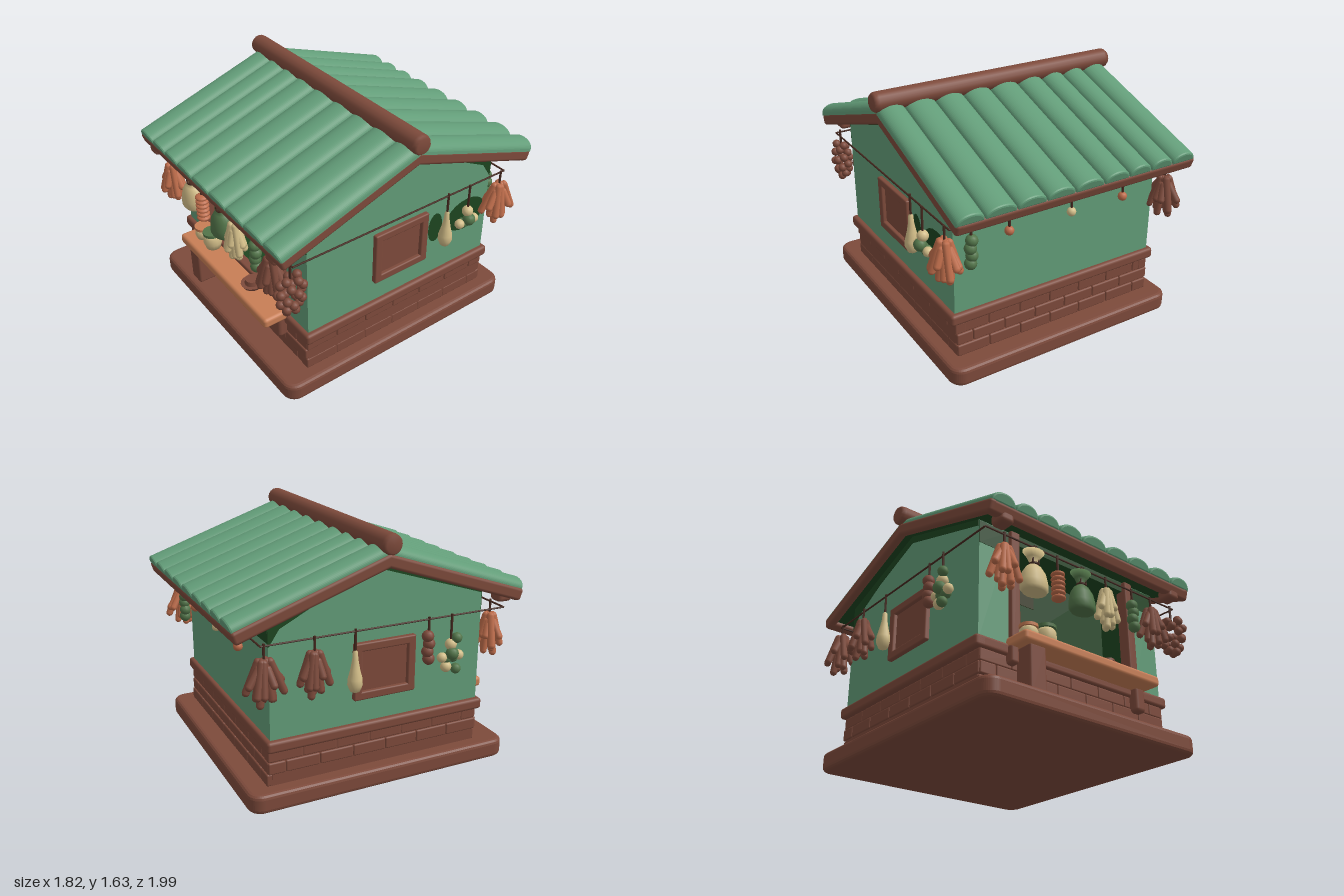
import * as THREE from 'three';
import { RoundedBoxGeometry } from 'three/addons/geometries/RoundedBoxGeometry.js';

const mat = (name, color) => new THREE.MeshStandardMaterial({ name, color });
const green = mat('paleGreen', 0x629c78), brown = mat('woodBrown', 0x7d4a3b);
const dark = mat('cordBrown', 0x46291f), deep = mat('deepGreen', 0x1d4520), olive = mat('darkOlive', 0x38391f);
const orange = mat('orange', 0xc87e55), cream = mat('cream', 0xd2bd88), sage = mat('sage', 0x527449);
const terracotta = mat('terracotta', 0xbd6c4a);

const add = (parent, name, geo, material, x = 0, y = 0, z = 0) => {
  const m = new THREE.Mesh(geo, material);
  m.name = name;
  m.position.set(x, y, z);
  parent.add(m);
  return m;
};
// Box given by its min and max corners, rounded when r > 0
const box = (parent, name, material, x0, x1, y0, y1, z0, z1, r = 0) => {
  const s = [x1 - x0, y1 - y0, z1 - z0];
  const geo = r ? new RoundedBoxGeometry(...s, 2, r) : new THREE.BoxGeometry(...s);
  return add(parent, name, geo, material, (x0 + x1) / 2, (y0 + y1) / 2, (z0 + z1) / 2);
};
// Round rod or capsule between two points
const rod = (parent, name, material, a, b, r, capsule = false) => {
  const A = new THREE.Vector3(...a), B = new THREE.Vector3(...b), d = B.clone().sub(A), l = d.length();
  const geo = capsule ? new THREE.CapsuleGeometry(r, l - 2 * r, 4, 8) : new THREE.CylinderGeometry(r, r, l, 6);
  const m = add(parent, name, geo, material, ...A.add(B).multiplyScalar(0.5).toArray());
  m.quaternion.setFromUnitVectors(new THREE.Vector3(0, 1, 0), d.normalize());
  return m;
};
const lathe = (pts) => new THREE.LatheGeometry(pts.map(p => new THREE.Vector2(...p)), 16);
const ball = (parent, name, material, x, y, z, r) =>
  add(parent, name, new THREE.SphereGeometry(r, 12, 8), material, x, y, z);

// Slab from a (z, y) outline, spanning x0 to x1
function slab(parent, name, material, x0, x1, pts) {
  const shape = new THREE.Shape(pts.map(p => new THREE.Vector2(...p)));
  const geo = new THREE.ExtrudeGeometry(shape, { depth: x1 - x0, bevelEnabled: false }).rotateY(-Math.PI / 2);
  add(parent, name, geo, material, x1, 0, 0);
}
const roofLine = z => 1.445 - 0.34 * Math.abs(z);
const under = (z, drop = 0) => [z, roofLine(z) - drop];

// Hanging goods, built downward from the line at local y = 0
const bundle = (material, R = 0.105) => g => {
  for (let i = 0; i < 16; i++) {
    const a = i * 2.4, inner = i < 5, k = inner ? 0.45 : 1;
    const drop = inner ? -0.35 + 0.02 * Math.sin(i * 5) : -0.3 + 0.06 * (i % 2);
    const tip = [Math.cos(a) * R * k, drop, Math.sin(a) * R * k * 0.65];
    rod(g, 'sausage', material, [tip[0] * 0.22, -0.07 - 0.04 * (i % 2), tip[2] * 0.22], tip, 0.024, true);
  }
};
const sack = (material) => g => {
  add(g, 'sackBody', lathe([[0, -0.295], [0.08, -0.295], [0.096, -0.275], [0.094, -0.23], [0.08, -0.17], [0.055, -0.13],
    [0.024, -0.105], [0.045, -0.06], [0.075, -0.02], [0, -0.05]]).scale(1, 1, 0.75), material);
  add(g, 'sackTie', new THREE.TorusGeometry(0.026, 0.008, 6, 14).rotateX(Math.PI / 2), dark, 0, -0.105, 0);
  for (const s of [-1, 1]) rod(g, 'sackCord', dark, [s * 0.008, 0.015, 0.02], [s * 0.024, -0.105, 0.02], 0.006);
};
const slices = g => {
  for (let i = 0; i < 6; i++)
    add(g, 'slice', new THREE.SphereGeometry(0.045, 14, 8).scale(1, 0.45, 1), terracotta, 0, -0.12 - i * 0.032, 0);
};
const strand = (material) => g => {
  for (let i = 0; i < 4; i++) ball(g, 'bulb', material, i % 2 ? 0.005 : -0.005, -0.11 - i * 0.05, 0, 0.039);
};
const grapes = (material) => g => {
  for (let i = 0; i < 26; i++) {
    const t = i / 25, a = i * 2.4, R = 0.03 + 0.055 * Math.sin(Math.PI * Math.min(1, t * 0.9 + 0.1));
    ball(g, 'berry', material, Math.cos(a) * R, -0.09 - t * 0.25, Math.sin(a) * R * 0.55, 0.029);
  }
};
const gourd = g => add(g, 'gourdBody', lathe([[0, -0.395], [0.03, -0.38], [0.047, -0.34], [0.045, -0.30], [0.03, -0.24],
  [0.019, -0.18], [0.015, -0.13], [0, -0.11]]), cream);
const cluster = g => {
  ball(g, 'vegetable', sage, 0, -0.24, 0.02, 0.042);
  for (const s of [-1, 1]) {
    ball(g, 'vegetable', cream, s * 0.062, -0.265, 0, 0.033);
    ball(g, 'vegetable', sage, s * 0.025, -0.275, -0.01, 0.035);
  }
  ball(g, 'vegetable', cream, 0, -0.185, 0, 0.038);
};
const longCluster = g => {
  cluster(g);
  ball(g, 'vegetable', sage, 0.03, -0.14, 0.02, 0.034);
  ball(g, 'vegetable', cream, -0.03, -0.33, 0, 0.036);
  ball(g, 'vegetable', sage, 0.03, -0.345, 0.02, 0.034);
};
const fruit = (material) => g => ball(g, 'fruitBall', material, 0, -0.12, 0, 0.03);

export function createModel() {
  const model = new THREE.Group();
  model.name = 'marketStall';

  // Plinth with rounded corners
  const px = 0.815, pz = 0.887, pr = 0.06, plan = new THREE.Shape();
  [[1, 1], [-1, 1], [-1, -1], [1, -1]].forEach(([sx, sz], i) =>
    plan.absarc(sx * (px - pr), sz * (pz - pr), pr, i * Math.PI / 2, (i + 1) * Math.PI / 2, false));
  add(model, 'plinth', new THREE.ExtrudeGeometry(plan, { depth: 0.069, bevelSize: 0.028, bevelThickness: 0.028,
    bevelSegments: 3, curveSegments: 6 }).rotateX(-Math.PI / 2), brown, 0, 0.028, 0.025);

  // Brick footing and band
  box(model, 'footing', brown, -0.745, 0.745, 0.1, 0.37, -0.72, 0.73);
  for (let side = 0; side < 4; side++) {
    const wall = new THREE.Group();
    wall.name = 'brickWall';
    wall.rotation.y = side * Math.PI / 2;
    for (let row = 0; row < 3; row++) for (let i = 0; i < 7; i++) {
      const step = 1.49 / 6.5, x0 = -0.745 + (i - (row % 2) / 2) * step, y = 0.122 + row * 0.079;
      const a = Math.max(x0, -0.745), b = Math.min(x0 + step, 0.745);
      const out = 0.742 + 0.012 * ((i * 3 + row * 2 + side) % 3) / 2;
      if (b - a > 0.03) box(wall, 'brick', brown, a, b - 0.002, y, y + 0.078, 0.68, out, 0.01);
    }
    model.add(wall);
  }
  for (const s of [-1, 1]) {
    box(model, 'bandSide', brown, s * 0.745 - 0.04, s * 0.745 + 0.04, 0.355, 0.43, -0.76, 0.765, 0.02);
    box(model, 'bandEnd', brown, -0.785, 0.785, 0.355, 0.43, s * 0.725 - 0.035, s * 0.725 + 0.04, 0.02);
  }

  // Walls with a recessed serving hatch lined in deep green
  slab(model, 'mainWall', green, -0.75, 0.75, [[-0.73, 0.4], [0.48, 0.4], under(0.48), under(0), under(-0.73)]);
  for (const s of [-1, 1]) {
    slab(model, 'frontWall', green, s * 0.63 - 0.12, s * 0.63 + 0.12, [[0.47, 0.4], [0.735, 0.4], under(0.735), under(0.47)]);
    box(model, 'hatchPost', brown, s * 0.495 - 0.035, s * 0.495 + 0.035, 0.41, 1.2, 0.68, 0.765, 0.012);
    box(model, 'hatchLining', deep, s * 0.507 - 0.004, s * 0.507 + 0.004, 0.42, 1.2, 0.48, 0.7);
  }
  box(model, 'hatchBack', deep, -0.51, 0.51, 0.42, 1.26, 0.478, 0.487);
  box(model, 'hatchBackPanel', olive, -0.38, -0.12, 0.9, 1.13, 0.484, 0.491);
  box(model, 'hatchFloor', deep, -0.51, 0.51, 0.36, 0.47, 0.48, 0.7);
  box(model, 'hatchSill', brown, -0.51, 0.51, 0.38, 0.495, 0.69, 0.755, 0.012);
  box(model, 'hatchLintel', deep, -0.51, 0.51, 1.13, 1.2, 0.48, 0.735);

  // Deep green panels painted under the eaves and beside the side goods
  for (const s of [-1, 1]) {
    box(model, 'frontEavePanel', deep, s * 0.64 - 0.11, s * 0.64 + 0.11, 1.04, 1.19, 0.733, 0.738);
    slab(model, 'gablePanel', deep, s * 0.75 - 0.004, s * 0.75 + 0.004, [under(0.73), under(0), under(-0.73),
      under(-0.73, 0.18), under(-0.66, 0.1), under(-0.4, 0.06), under(0, 0.05), under(0.73, 0.04)].reverse());
  }
  box(model, 'backEavePanel', deep, -0.748, 0.748, 1.04, 1.19, -0.734, -0.729);
  for (const [z, y, rz, ry] of [[-0.27, 0.79, 0.06, 0.11], [-0.54, 0.785, 0.17, 0.12]])
    add(model, 'sidePanel', new THREE.CircleGeometry(1, 20).scale(rz, ry, 1).rotateY(Math.PI / 2), deep, 0.753, y, z);

  // Counter and its supports
  box(model, 'counter', orange, -0.56, 0.548, 0.4, 0.47, 0.735, 0.92, 0.022);
  box(model, 'counterLeg', brown, -0.5, -0.38, 0.12, 0.41, 0.76, 0.89, 0.015);
  box(model, 'counterBracket', brown, 0.445, 0.53, 0.25, 0.42, 0.73, 0.81, 0.025);
  box(model, 'counterBracket', brown, -0.56, -0.5, 0.3, 0.42, 0.73, 0.8, 0.02);

  // Jars and dishes on the counter
  for (const [x, r, h, rim] of [[-0.435, 0.058, 0.09, orange], [-0.3, 0.064, 0.125, sage]]) {
    add(model, 'jar', lathe([[0, 0], [r * 0.8, 0], [r, h * 0.35], [r * 0.95, h * 0.7], [r * 0.75, h * 0.85], [0, h * 0.9]]),
      cream, x, 0.47, 0.8);
    add(model, 'jarRim', new THREE.CylinderGeometry(r, r, 0.02, 16), rim, x, 0.47 + h * 0.94, 0.8);
  }
  add(model, 'dish', new THREE.CylinderGeometry(0.075, 0.06, 0.025, 16), brown, 0.21, 0.482, 0.8);
  add(model, 'dishTop', new THREE.CylinderGeometry(0.045, 0.05, 0.035, 16), brown, 0.21, 0.51, 0.8);

  // Side windows
  for (const s of [-1, 1]) {
    const w = new THREE.Group();
    w.name = 'sideWindow';
    w.position.set(s * 0.75, 0.772, 0.028);
    w.rotation.y = s * Math.PI / 2;
    for (const k of [-1, 1]) {
      box(w, 'frameUpright', brown, k * 0.187 - 0.027, k * 0.187 + 0.027, -0.185, 0.185, -0.02, 0.032, 0.01);
      box(w, 'frameRail', brown, -0.21, 0.21, k * 0.158 - 0.027, k * 0.158 + 0.027, -0.02, 0.032, 0.01);
    }
    box(w, 'shutter', brown, -0.18, 0.18, -0.15, 0.15, -0.02, 0.006);
    model.add(w);
  }

  // Roof: two slopes of rounded tiles over a deck with edge beams
  const edges = [-0.85, -0.67, -0.5, -0.33, -0.14, 0.07, 0.27, 0.47, 0.68, 0.865], len = 1.035;
  for (const s of [1, -1]) {
    const turn = new THREE.Group(), slope = new THREE.Group();
    turn.name = s > 0 ? 'frontRoof' : 'backRoof';
    slope.name = 'roofSlope';
    turn.rotation.y = s > 0 ? 0 : Math.PI;
    slope.position.y = 1.5;
    slope.rotation.x = Math.atan(0.34);
    box(slope, 'roofDeck', deep, -0.84, 0.84, -0.045, 0.004, 0, 1.0);
    for (let i = 0; i < 9; i++) {
      const w = (edges[i + 1] - edges[i]) / 2 - 0.003, shape = new THREE.Shape();
      shape.absellipse(0, 0, w - 0.012, 0.048, 0, Math.PI, false);
      shape.closePath();
      const geo = new THREE.ExtrudeGeometry(shape, { depth: len - 0.024, bevelSize: 0.012, bevelThickness: 0.012,
        bevelSegments: 2, curveSegments: 14 });
      add(slope, 'roofTile', geo, green, s * (edges[i] + edges[i + 1]) / 2, 0.006, 0.012);
    }
    for (const k of [-1, 1])
      box(slope, 'rakeBeam', brown, k * 0.832 - 0.028, k * 0.832 + 0.028, -0.075, 0.006, -0.01, 1.04, 0.02);
    box(slope, 'eaveBeam', brown, -0.86, 0.86, -0.077, 0.004, 0.965, 1.04, 0.022);
    turn.add(slope);
    model.add(turn);
    box(model, 'rafterTail', brown, s * 0.72 - 0.05, s * 0.72 + 0.05, 1.07, 1.15, 0.86, 0.97, 0.025);
  }
  const ridge = lathe([[0, -0.885], [0.05, -0.885], [0.062, -0.87], [0.065, -0.85], [0.065, 0.85], [0.062, 0.87],
    [0.05, 0.885], [0, 0.885]]).rotateZ(Math.PI / 2);
  add(model, 'ridgeLog', ridge, brown, 0, 1.565, 0.005);

  // Lines strung around the stall
  const corners = [[-0.81, 1.055, 0.87], [0.81, 1.055, 0.87], [0.81, 1.055, -0.8], [-0.81, 1.055, -0.8]];
  corners.forEach((c, i) => rod(model, 'line', dark, c, corners[(i + 1) % 4], 0.006));

  // Goods on the lines: name, x, z, turned sideways, builder
  const goods = [
    ['orangeBundle', -0.67, 0.87, 0, bundle(terracotta)], ['creamSack', -0.43, 0.85, 0, sack(cream)],
    ['sliceString', -0.255, 0.87, 0, slices], ['greenSack', -0.04, 0.85, 0, sack(sage)],
    ['creamBundle', 0.16, 0.87, 0, bundle(cream, 0.08)], ['greenStrand', 0.4, 0.87, 0, strand(sage)],
    ['brownBundle', 0.58, 0.87, 0, bundle(brown, 0.11)], ['berryBunch', 0.78, 0.87, 1, grapes(brown)],
    ['gourd', 0.81, -0.31, 1, gourd], ['vegetableCluster', 0.82, -0.485, 1, cluster],
    ['orangeBundle', 0.82, -0.76, 1, bundle(terracotta, 0.125)], ['greenStrand', 0.67, -0.8, 0, strand(sage)],
    ['orangeFruit', 0.41, -0.8, 0, fruit(terracotta)], ['creamFruit', -0.04, -0.8, 0, fruit(cream)],
    ['orangeFruit', -0.44, -0.8, 0, fruit(terracotta)], ['brownBundle', -0.81, -0.78, 1, bundle(brown, 0.125)],
    ['brownBundle', -0.82, -0.47, 1, bundle(brown, 0.1)], ['gourd', -0.81, -0.2, 1, gourd],
    ['brownStrand', -0.81, 0.31, 1, strand(brown)], ['vegetableCluster', -0.82, 0.47, 1, longCluster],
  ];
  for (const [name, x, z, side, build] of goods) {
    const g = new THREE.Group();
    g.name = name;
    g.position.set(x, 1.055, z);
    g.rotation.y = side * Math.sign(x) * Math.PI / 2;
    rod(g, 'cord', dark, [0, 0.015, 0], [0, /gourd|Cluster/.test(name) ? -0.16 : -0.1, 0], 0.008);
    build(g);
    model.add(g);
  }
  return model;
}
